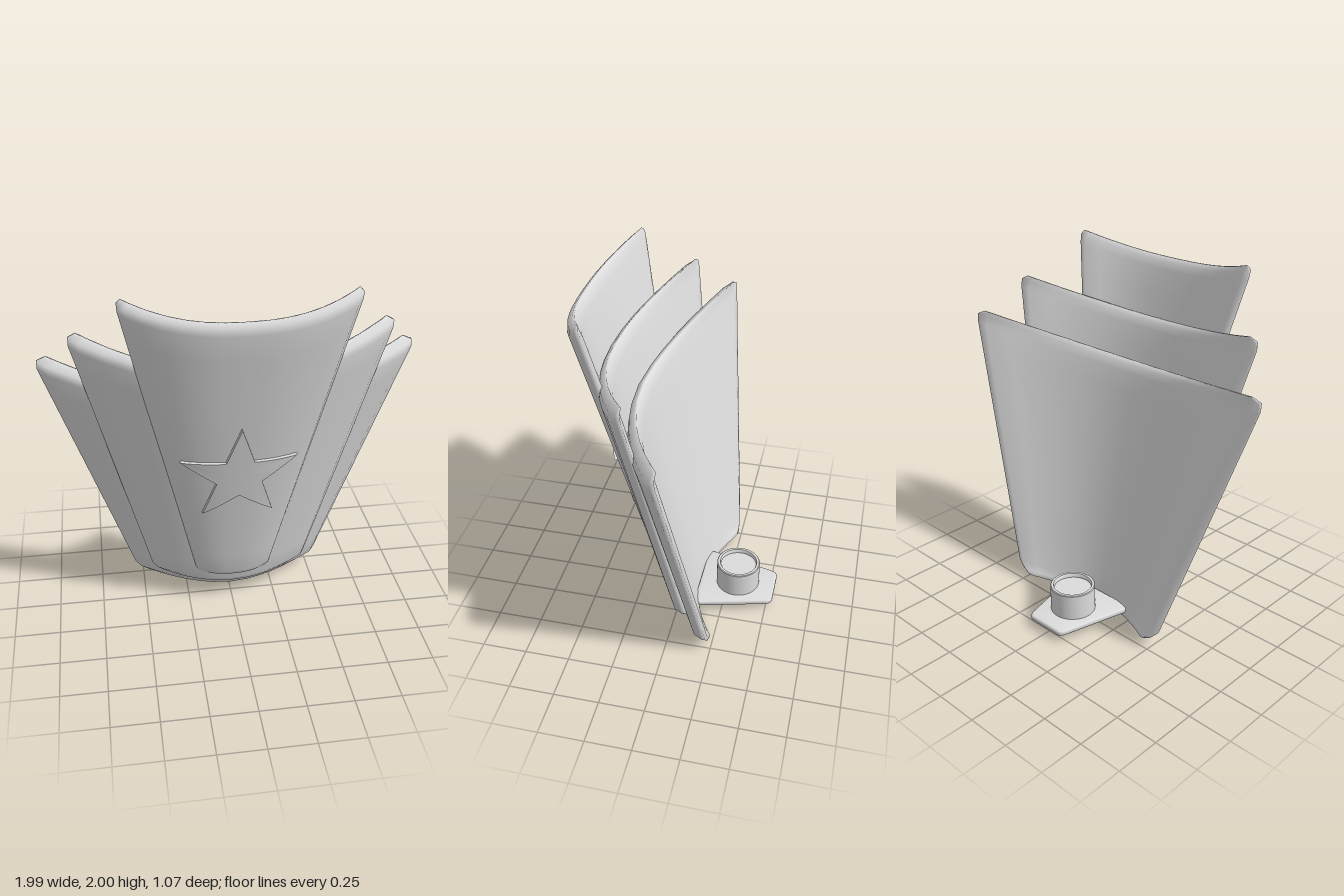
import * as THREE from 'three';
import { toCreasedNormals } from 'three/addons/utils/BufferGeometryUtils.js';

const lerp = THREE.MathUtils.lerp;

// Each curved panel: [bottom, top] values for height, half width, front depth, sweep-back, corner rise
const PANELS = {
  frontPanel: { y: [0.175, 1.91], w: [0.205, 0.59], z: [0.122, 0.548], sag: [0.045, 0.135], rise: [0.015, 0.09], p: 2.4, t: 0.07, inset: [0.025, 0.03] },
  middlePanel: { y: [0.09, 1.605], w: [0.435, 0.835], z: [0.07, 0.415], sag: [0.125, 0.25], rise: [0.035, 0.14], p: 2, t: 0.07, inset: [0.065, 0.055] },
  backPanel: { y: [0, 1.385], w: [0.525, 1.015], z: [-0.025, 0.278], sag: [0.16, 0.305], rise: [0.045, 0.16], p: 1.8, t: 0.075, inset: [0.065, 0.07] },
};

function geometryFrom(points, index) {
  const g = new THREE.BufferGeometry();
  g.setAttribute('position', new THREE.Float32BufferAttribute(points, 3));
  g.setIndex(index);
  g.computeVertexNormals();
  return g;
}

// Joins consecutive closed rings of n points
function stitch(index, rings, n) {
  for (let r = 0; r < rings - 1; r++) {
    for (let i = 0; i < n; i++) {
      const a = r * n + i, b = r * n + (i + 1) % n;
      index.push(a, b, b + n, a, b + n, a + n);
    }
  }
}

// Swept-back shield panel with soft rims, built from stacked closed cross-sections
function panelGeometry(P) {
  const h = P.y[1] - P.y[0];
  // rows: height above bottom, width inset, how far the front and back faces pinch in
  const rows = [[0, P.inset[0], 0.65, 0.15], [0.022, P.inset[0] * 0.4, 0.25, 0.05], [0.06, 0, 0, 0]];
  for (let k = 1; k < 12; k++) rows.push([lerp(0.06, h - 0.06, k / 12), 0, 0, 0]);
  rows.push([h - 0.06, 0, 0, 0], [h - 0.02, P.inset[1] * 0.2, 0.2, 0.1], [h, P.inset[1], 0.55, 0.3]);

  const half = [0.2, 0.35, 0.5, 0.65, 0.8, 0.94, 1];
  const s = [...half.map((u) => -u).reverse(), 0, ...half];
  const m = s.length, n = 2 * m, pts = [], index = [];

  for (const [dy, inset, front, rear] of rows) {
    const v = dy / h, w = lerp(...P.w, v) - inset;
    const add = (u, back) => {
      const bend = Math.abs(u) ** P.p;
      const rim = Math.abs(u) === 1;
      const depth = back ? P.t * (1 - Math.max(rear, rim ? 0.3 : 0)) : P.t * Math.max(front, rim ? 0.4 : 0);
      pts.push(u * w, P.y[0] + dy + bend * lerp(...P.rise, v), lerp(...P.z, v) - bend * lerp(...P.sag, v) - depth);
    };
    s.forEach((u) => add(u, false));
    [...s].reverse().forEach((u) => add(u, true));
  }
  stitch(index, rows.length, n);

  // Close the bottom and top rims
  const top = (rows.length - 1) * n;
  for (let i = 0; i < m - 1; i++) {
    const a = i, b = i + 1, c = n - 2 - i, d = n - 1 - i;
    index.push(a, c, b, a, d, c);
    index.push(top + a, top + b, top + c, top + a, top + c, top + d);
  }
  return geometryFrom(pts, index);
}

// Front surface depth of a panel at a point
function surfaceZ(P, x, y) {
  let v = (y - P.y[0]) / (P.y[1] - P.y[0]);
  const bend = Math.min(1, Math.abs(x) / lerp(...P.w, v)) ** P.p;
  v -= bend * lerp(...P.rise, v) / (P.y[1] - P.y[0]);
  return lerp(...P.z, v) - bend * lerp(...P.sag, v);
}

// Raised five-pointed star that follows the front panel
function starGeometry(P) {
  const cy = 0.985, steps = 6, outline = [], pts = [], index = [];
  const corner = (k) => {
    const r = k % 2 ? 0.125 : 0.32, a = Math.PI / 2 + k * Math.PI / 5;
    return new THREE.Vector2(Math.cos(a) * r, Math.sin(a) * r);
  };
  for (let k = 0; k < 10; k++) {
    for (let j = 0; j < steps; j++) outline.push(corner(k).lerp(corner(k + 1), j / steps));
  }
  // rings: from buried rim to raised rim, then in to the centre
  const rings = [[1, -0.01], [1, 0.022], [0.75, 0.022], [0.5, 0.022], [0.25, 0.022], [0.001, 0.022]];
  for (const [scale, lift] of rings) {
    for (const q of outline) {
      const x = q.x * scale, y = cy + q.y * scale;
      pts.push(x, y, surfaceZ(P, x, y) + lift);
    }
  }
  stitch(index, rings.length, outline.length);
  return toCreasedNormals(geometryFrom(pts, index), 0.7);
}

// Flat tapered foot with rounded corners and soft edges
function tabGeometry() {
  const s = new THREE.Shape();
  s.moveTo(-0.215, 0.105);
  s.lineTo(0.215, 0.105);
  s.lineTo(0.215, 0.135);
  s.lineTo(0.125, 0.49);
  s.quadraticCurveTo(0.117, 0.526, 0.095, 0.526);
  s.lineTo(-0.095, 0.526);
  s.quadraticCurveTo(-0.117, 0.526, -0.125, 0.49);
  s.lineTo(-0.215, 0.135);
  s.closePath();
  const g = new THREE.ExtrudeGeometry(s, {
    depth: 0.012, bevelEnabled: true, bevelThickness: 0.01, bevelSize: 0.01, bevelSegments: 3, curveSegments: 8,
  });
  g.rotateX(-Math.PI / 2);
  g.translate(0, 0.047, 0);
  return toCreasedNormals(g, 0.6);
}

// Round socket with a recessed floor
function socketGeometry() {
  const profile = [[0.125, 0.05], [0.125, 0.216], [0.121, 0.22], [0.107, 0.22], [0.105, 0.217], [0.105, 0.195], [0, 0.195]];
  const g = new THREE.LatheGeometry(profile.map(([r, y]) => new THREE.Vector2(r, y)), 48);
  return toCreasedNormals(g, 0.6);
}

export function createModel() {
  const group = new THREE.Group();
  group.name = 'layeredShield';
  const grey = new THREE.MeshStandardMaterial({ color: 0xdcdcdc });
  grey.name = 'lightGrey';

  const add = (name, geometry) => {
    const mesh = new THREE.Mesh(geometry, grey);
    mesh.name = name;
    group.add(mesh);
  };

  for (const [name, P] of Object.entries(PANELS)) add(name, panelGeometry(P));
  add('star', starGeometry(PANELS.frontPanel));

  // Mounting foot behind the panels
  add('mountingTab', tabGeometry());
  add('socket', socketGeometry().translate(0, 0, -0.315));
  return group;
}
